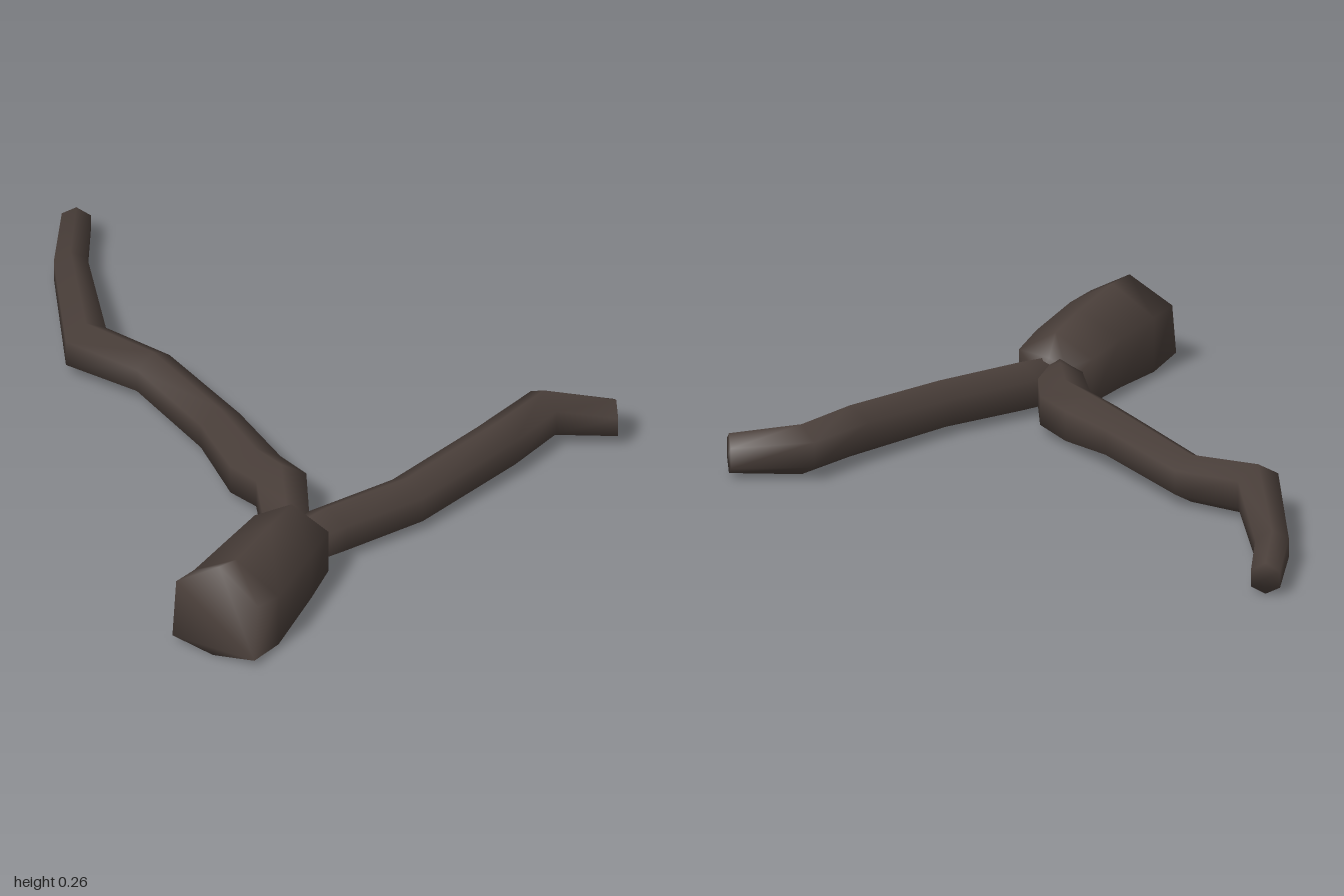
import * as THREE from 'three';

const bark = new THREE.MeshStandardMaterial({ color: 0x4a3f3a });
bark.name = 'dark bark';

// Skin six-sided sections into a closed limb resting on the ground.
// Each section: [rightX, rightZ, leftX, leftZ, topY, leanX, leanZ]
function limb(name, sections) {
  const N = 6, pos = [], idx = [];
  for (const [rx, rz, lx, lz, top, leanX = 0, leanZ = 0] of sections) {
    const d = Math.hypot(rx - lx, rz - lz) / 0.866;
    // side low, side high, ridge, other side high, other side low, keel
    const ring = [[1, 0.75], [1, 0.25], [0.5, 0], [0, 0.25], [0, 0.75], [0.5, 1]];
    for (const [t, drop] of ring) {
      const y = Math.max(0, top - d * drop);
      pos.push(lx + (rx - lx) * t + leanX * y, y, lz + (rz - lz) * t + leanZ * y);
    }
  }
  const last = sections.length - 1;
  for (let i = 0; i < last; i++) {
    for (let k = 0; k < N; k++) {
      const a = i * N + k, b = i * N + (k + 1) % N;
      idx.push(a, a + N, b + N, a, b + N, b);
    }
  }
  // end caps
  for (let k = 1; k < N - 1; k++) {
    idx.push(0, k, k + 1);
    idx.push(last * N, last * N + k + 1, last * N + k);
  }
  const geo = new THREE.BufferGeometry();
  geo.setAttribute('position', new THREE.Float32BufferAttribute(pos, 3));
  geo.setIndex(idx);
  geo.computeVertexNormals();
  const mesh = new THREE.Mesh(geo, bark);
  mesh.name = name;
  return mesh;
}

export function createModel() {
  const group = new THREE.Group();
  group.name = 'fallenBranch';

  // thick stump with a slanted cut
  group.add(limb('trunk', [
    [1.0, 0.8, 0.73, 0.86, 0.26, -0.135, -0.25],
    [0.97, 0.66, 0.69, 0.72, 0.25],
    [0.88, 0.42, 0.645, 0.53, 0.235],
    [0.82, 0.28, 0.6, 0.36, 0.215],
    [0.74, 0.25, 0.65, 0.3, 0.15],
  ]));

  // long crooked fork
  group.add(limb('longBranch', [
    [0.74, 0.27, 0.65, 0.37, 0.145],
    [0.68, 0.21, 0.6, 0.32, 0.15],
    [0.53, 0.06, 0.45, 0.19, 0.165],
    [0.4, 0.03, 0.33, 0.17, 0.155],
    [0.17, -0.045, 0.13, 0.08, 0.16],
    [-0.21, -0.155, -0.225, -0.03, 0.145],
    [-0.435, -0.125, -0.47, 0.01, 0.16],
    [-0.77, -0.41, -0.83, -0.33, 0.11],
    [-0.93, -0.6, -1.0, -0.55, 0.095],
  ]));

  // shorter fork with a bent tip
  group.add(limb('shortBranch', [
    [0.77, 0.34, 0.65, 0.36, 0.14],
    [0.8, 0.18, 0.66, 0.2, 0.15],
    [0.86, -0.085, 0.725, -0.1, 0.147],
    [0.865, -0.48, 0.73, -0.46, 0.16],
    [0.845, -0.68, 0.715, -0.71, 0.16],
    [0.98, -0.8, 0.9, -0.87, 0.13],
  ]));

  return group;
}
